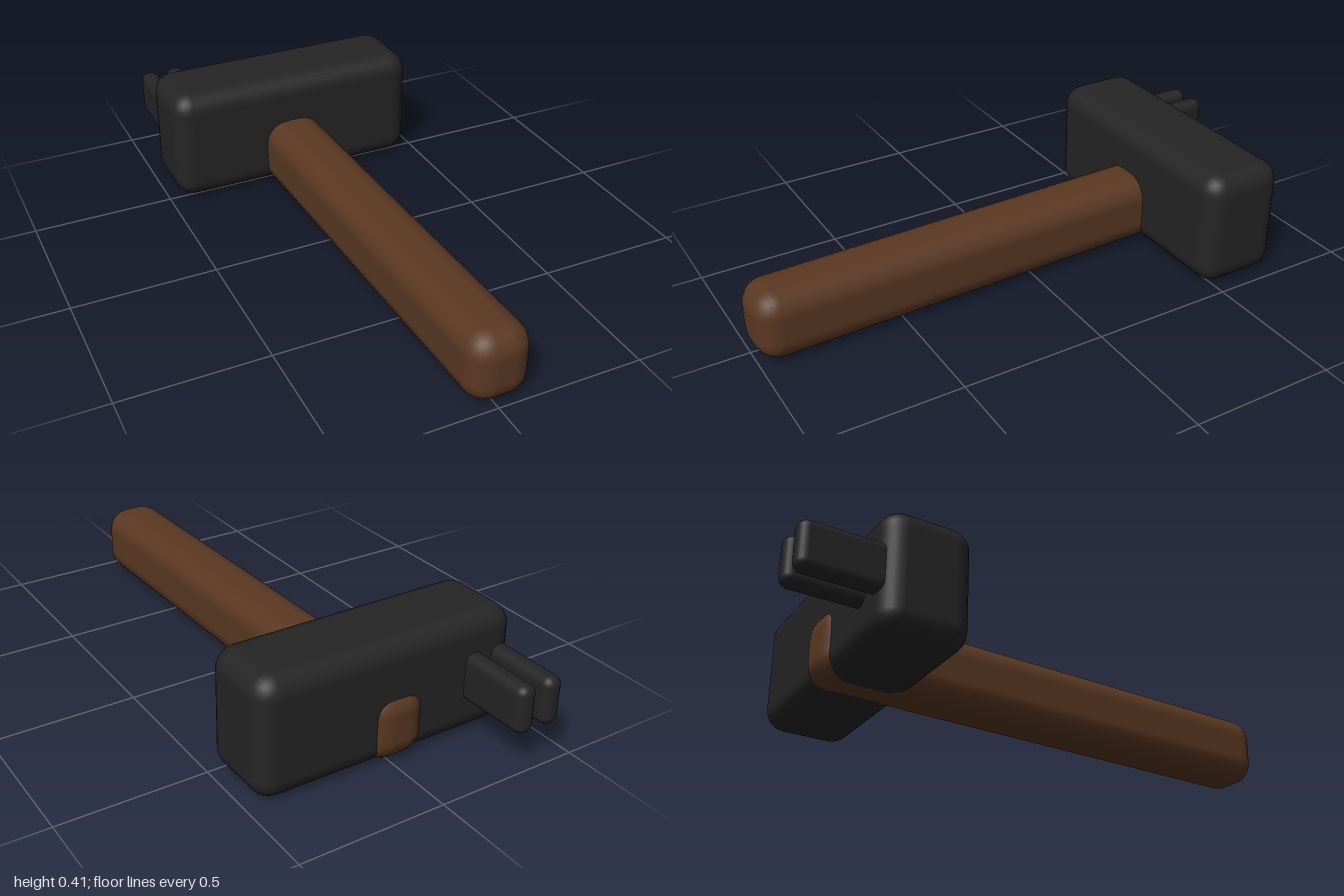
import * as THREE from 'three';
import { RoundedBoxGeometry } from 'three/addons/geometries/RoundedBoxGeometry.js';

export function createModel() {
  const model = new THREE.Group();
  model.name = 'hammer';

  const iron = new THREE.MeshStandardMaterial({ color: 0x252525 });
  iron.name = 'dark iron';
  const wood = new THREE.MeshStandardMaterial({ color: 0x5a3822 });
  wood.name = 'brown wood';

  // Rounded block given its size, centre and edge radius
  function block(name, material, size, centre, radius) {
    const mesh = new THREE.Mesh(new RoundedBoxGeometry(...size, 3, radius), material);
    mesh.name = name;
    mesh.position.set(...centre);
    model.add(mesh);
    return mesh;
  }

  // Heavy head
  block('head', iron, [0.934, 0.412, 0.3], [0, 0.209, -0.6], 0.07);

  // Handle, slightly askew, its end poking out behind the head
  const handle = block('handle', wood, [0.214, 0.248, 1.77], [-0.002, 0.125, 0.115], 0.08);
  handle.rotation.y = 0.026;

  // Twin claw plates on the back of the head
  for (const x of [-0.406, -0.305]) {
    block('clawPlate', iron, [0.066, 0.164, 0.36], [x, 0.212, -0.82], 0.03);
  }

  return model;
}
